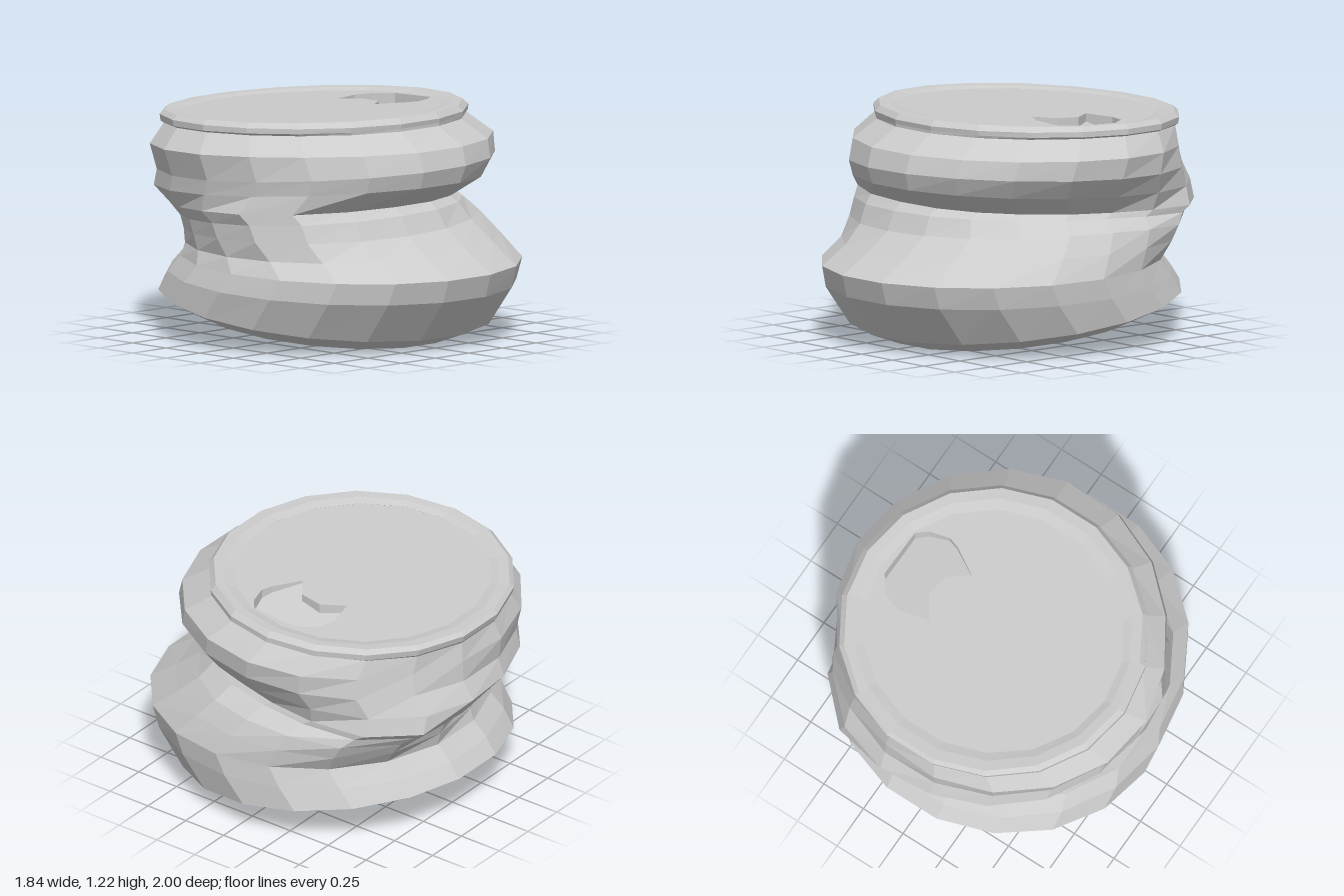
import * as THREE from 'three';

const SIDES = 18;
const material = new THREE.MeshStandardMaterial({ color: 0xcccccc, flatShading: true, side: THREE.DoubleSide });

// Each ring: front z, y | right x, y | back z, y | left x, y | dents (+ out) at back right, front left
const base = [
  [-0.08, 0.165, 0, 0.165, -0.08, 0.165, 0, 0.165],
  [0.47, 0.095, 0.58, 0.165, -0.63, 0.24, -0.58, 0.165],
  [0.55, 0.03, 0.64, 0.11, -0.71, 0.195, -0.64, 0.11],
  [0.64, 0, 0.71, 0.09, -0.81, 0.19, -0.71, 0.09],
  [0.81, 0.06, 0.91, 0.17, -0.93, 0.28, -0.9, 0.17],
];
const wall = [
  base[4],
  [0.98, 0.28, 0.92, 0.31, -0.87, 0.36, -0.91, 0.32],
  [1.015, 0.4, 0.92, 0.42, -0.79, 0.44, -0.88, 0.42],
  [0.84, 0.51, 0.88, 0.54, -0.76, 0.51, -0.83, 0.5, 0.09, 0.03],
  [0.7, 0.61, 0.83, 0.64, -0.75, 0.57, -0.82, 0.59, 0.15, 0.08],
  [0.65, 0.71, 0.73, 0.7, -0.77, 0.63, -0.82, 0.67, 0.21, 0.09],
  [0.6, 0.75, 0.72, 0.725, -0.83, 0.68, -0.84, 0.73, 0.21, 0.1],
  [0.81, 0.87, 0.8, 0.82, -0.98, 0.78, -0.89, 0.82, 0.06, -0.02],
  [0.84, 0.96, 0.88, 0.93, -0.95, 0.88, -0.9, 0.9, 0.01, -0.03],
  [0.81, 1.06, 0.9, 1.04, -0.97, 1.0, -0.94, 1.04, -0.04, -0.05],
  [0.65, 1.155, 0.8, 1.14, -0.93, 1.1, -0.81, 1.14],
];
const rim = [
  wall[wall.length - 1],
  [0.65, 1.17, 0.82, 1.15, -0.94, 1.115, -0.83, 1.15],
  [0.655, 1.195, 0.82, 1.18, -0.95, 1.15, -0.83, 1.18],
  [0.63, 1.225, 0.79, 1.205, -0.93, 1.17, -0.8, 1.205],
  [0.57, 1.225, 0.74, 1.2, -0.87, 1.17, -0.75, 1.2],
  [0.51, 1.212, 0.69, 1.187, -0.82, 1.162, -0.71, 1.187],
];

// Smooth bump around the direction a0
const bump = (a, a0) => Math.max(0, Math.cos(a - a0)) ** 6;

// Ellipse through the four compass points, with varying height and the dents added
function ringPoint([fz, fy, rx, ry, bz, by, lx, ly, backRight = 0, frontLeft = 0], i) {
  const a = ((i + 0.5) / SIDES) * Math.PI * 2;
  const s = Math.sin(a), c = Math.cos(a);
  const d = backRight * bump(a, Math.PI * 0.8) + frontLeft * bump(a, -Math.PI * 0.31);
  const y = (fy + ry + by + ly) / 4 + c * (fy - by) / 2 + s * (ry - ly) / 2
    + Math.cos(2 * a) * (fy + by - ry - ly) / 4;
  return [(s > 0 ? rx : -lx) * s + d * s, y, (fz + bz) / 2 + c * (fz - bz) / 2 + d * c];
}

function mesh(name, geometry) {
  geometry.computeVertexNormals();
  const m = new THREE.Mesh(geometry, material);
  m.name = name;
  return m;
}

function indexed(name, pos, idx) {
  const g = new THREE.BufferGeometry();
  g.setAttribute('position', new THREE.Float32BufferAttribute(pos, 3));
  g.setIndex(idx);
  return mesh(name, g);
}

function loft(name, rings) {
  const pos = [], idx = [];
  rings.forEach((r) => { for (let i = 0; i < SIDES; i++) pos.push(...ringPoint(r, i)); });
  for (let k = 0; k < rings.length - 1; k++) {
    for (let i = 0; i < SIDES; i++) {
      const j = (i + 1) % SIDES, lo = k * SIDES, up = lo + SIDES;
      idx.push(lo + i, lo + j, up + j, lo + i, up + j, up + i);
    }
  }
  return indexed(name, pos, idx);
}

// Sloping plane of the lid, and the pushed-in flap below it
const lidY = (x, z) => 1.1925 + 0.0376 * z;
const flapY = (x, z) => lidY(x, z) - 0.01 - (x - 0.26) * 0.2 + (z - 0.1) * 0.06;

// Flat outline in x and z, laid on a height function
function sheet(name, outline, height, holes = []) {
  const toV = ([x, z]) => new THREE.Vector2(x, -z);
  const shape = new THREE.Shape(outline.map(toV));
  holes.forEach((h) => shape.holes.push(new THREE.Path(h.map(toV))));
  const g = new THREE.ShapeGeometry(shape).rotateX(-Math.PI / 2);
  const p = g.attributes.position;
  for (let i = 0; i < p.count; i++) p.setY(i, height(p.getX(i), p.getZ(i)));
  return mesh(name, g);
}

export function createModel() {
  const group = new THREE.Group();
  group.name = 'crushedCan';
  group.add(loft('base', base), loft('crumpledWall', wall), loft('topRim', rim));

  // Lid with the opening cut out
  const mouth = [[0.31, -0.29], [0.48, -0.33], [0.58, -0.3], [0.65, -0.2], [0.64, 0.07], [0.58, 0.12],
    [0.47, 0.15], [0.41, 0.13], [0.26, 0.04], [0.37, -0.04], [0.39, -0.17]];
  const edge = Array.from({ length: SIDES }, (_, i) => {
    const [x, , z] = ringPoint(rim[rim.length - 1], i);
    return [x, z];
  });
  group.add(sheet('lid', edge, lidY, [mouth]), sheet('mouthFlap', mouth, flapY));

  // Wall between the lid and the flap
  const pos = [], idx = [], n = mouth.length;
  mouth.forEach(([x, z], i) => {
    pos.push(x, lidY(x, z), z, x, flapY(x, z), z);
    const a = 2 * i, b = 2 * ((i + 1) % n);
    idx.push(a, b, b + 1, a, b + 1, a + 1);
  });
  group.add(indexed('mouthWall', pos, idx));
  return group;
}
